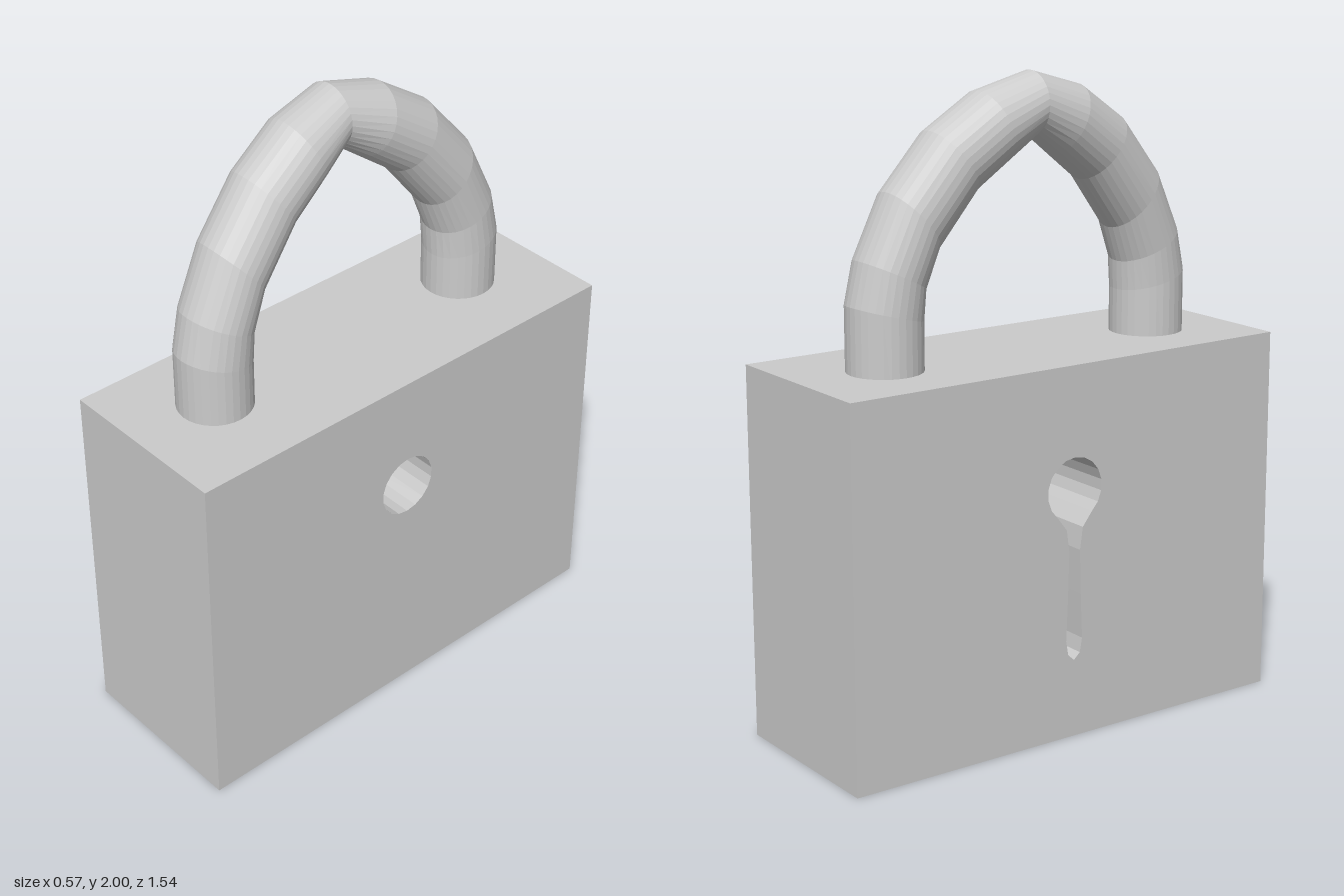
import * as THREE from 'three';

const material = new THREE.MeshStandardMaterial({ color: 0xcccccc, flatShading: true });

const WIDTH = 0.575, HEIGHT = 1.16, DEPTH = 1.54;
const HOLE = { u: -0.005, y: 0.78, r: 0.1 };

// Points on the round bore from angle a0 to a1
function arc(a0, a1, steps) {
  return Array.from({ length: steps + 1 }, (_, i) => {
    const a = a0 + ((a1 - a0) * i) / steps;
    return new THREE.Vector2(HOLE.u + HOLE.r * Math.cos(a), HOLE.y + HOLE.r * Math.sin(a));
  });
}

// Slab of the lock body with an opening, extruded along x
function bodySlab(name, opening, x, thickness) {
  const d = DEPTH / 2;
  const shape = new THREE.Shape([
    new THREE.Vector2(-d, 0), new THREE.Vector2(d, 0),
    new THREE.Vector2(d, HEIGHT), new THREE.Vector2(-d, HEIGHT),
  ]);
  shape.holes.push(new THREE.Path(opening));
  const geometry = new THREE.ExtrudeGeometry(shape, { depth: thickness, bevelEnabled: false });
  geometry.rotateY(Math.PI / 2).translate(x, 0, 0);
  const mesh = new THREE.Mesh(geometry, material);
  mesh.name = name;
  return mesh;
}

// Round bore with a flared neck and a narrow slot below it
function keyholeOutline() {
  const side = [[0.03, -0.12], [0.02, -0.19], [0.024, -0.33], [0.03, -0.47], [0.022, -0.515]];
  const at = (s) => ([u, y]) => new THREE.Vector2(HOLE.u + s * u, HOLE.y + y);
  return [
    ...arc(-0.28 * Math.PI, 1.28 * Math.PI, 14),
    ...side.map(at(-1)),
    at(1)([0, -0.535]),
    ...side.map(at(1)).reverse(),
  ];
}

// Bent bar lofted through tilted rings, mirrored over a mitred peak
function shackleGeometry() {
  // Each ring: outer z, outer y, inner z, inner y, centre x, half width
  const half = [
    [0.6, 1.1, 0.37, 1.1, -0.02, 0.115],
    [0.6, 1.36, 0.37, 1.3, -0.02, 0.115],
    [0.57, 1.49, 0.365, 1.39, -0.022, 0.115],
    [0.48, 1.68, 0.325, 1.5, -0.028, 0.115],
    [0.34, 1.845, 0.2, 1.66, -0.041, 0.115],
    [0.18, 1.95, 0.085, 1.746, -0.055, 0.115],
    [0, 2.0, 0, 1.81, -0.067, 0.098],
  ];
  const mirrored = half.slice(0, -1).reverse().map(([oz, oy, iz, iy, x, w]) => [-oz, oy, -iz, iy, x, w]);
  const rings = [...half, ...mirrored];
  const sides = 32, positions = [], index = [];
  rings.forEach(([oz, oy, iz, iy, x, w], i) => {
    for (let j = 0; j < sides; j++) {
      const a = (j / sides) * Math.PI * 2, c = Math.cos(a) / 2;
      positions.push(x + w * Math.sin(a), (oy + iy) / 2 + c * (oy - iy), (oz + iz) / 2 + c * (oz - iz));
      if (i === rings.length - 1) continue;
      const p = i * sides + j, q = i * sides + ((j + 1) % sides);
      index.push(p, q, p + sides, q, q + sides, p + sides);
    }
  });
  const geometry = new THREE.BufferGeometry();
  geometry.setAttribute('position', new THREE.Float32BufferAttribute(positions, 3));
  geometry.setIndex(index);
  geometry.computeVertexNormals();
  return geometry;
}

export function createModel() {
  const group = new THREE.Group();
  group.name = 'padlock';

  // Body: the bore runs right through, the slot only reaches halfway
  const body = new THREE.Group();
  body.name = 'body';
  const bore = arc(-0.28 * Math.PI, 1.28 * Math.PI, 14).concat(arc(1.28 * Math.PI, 1.72 * Math.PI, 4).slice(1, -1));
  body.add(bodySlab('keyholeHalf', keyholeOutline(), -WIDTH / 2, WIDTH / 2));
  body.add(bodySlab('boreHalf', bore, 0, WIDTH / 2));
  group.add(body);

  // Shackle leaning slightly to one side
  const shackle = new THREE.Mesh(shackleGeometry(), material);
  shackle.name = 'shackle';
  group.add(shackle);

  return group;
}
